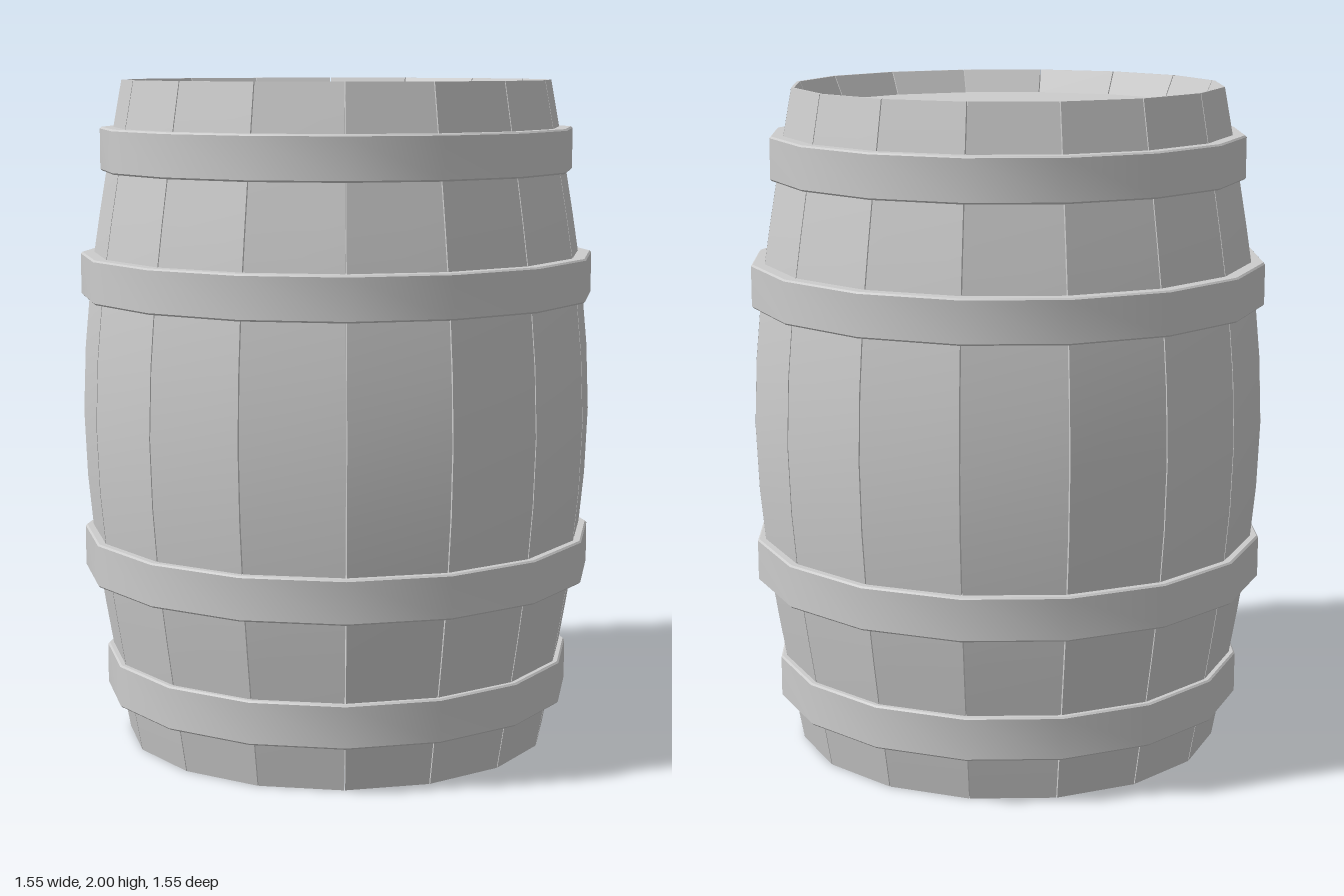
import * as THREE from 'three';
import { toCreasedNormals } from 'three/addons/utils/BufferGeometryUtils.js';

const SIDES = 16;
const STEP = (Math.PI * 2) / SIDES;

// Height, outer radius and inner radius up a stave
const HALF = [
  [0, 0.645, 0.636], [0.07, 0.658, 0.605], [0.2, 0.682, 0.62], [0.4, 0.716, 0.65],
  [0.58, 0.744, 0.68], [0.8, 0.765, 0.7], [1, 0.773, 0.71],
];
const PROFILE = [...HALF, ...HALF.slice(0, -1).reverse().map(([y, o, i]) => [2 - y, o, i])];

// One bowed plank: a box whose rows follow the barrel profile
function staveGeometry() {
  const rows = PROFILE.length - 1;
  const geo = new THREE.BoxGeometry(1, 1, 1, 1, rows, 1);
  const p = geo.attributes.position;
  for (let k = 0; k < p.count; k++) {
    const [y, outer, inner] = PROFILE[Math.round((p.getY(k) + 0.5) * rows)];
    const r = p.getZ(k) > 0 ? outer : inner;
    const a = p.getX(k) * (STEP - 0.005);
    p.setXYZ(k, r * Math.sin(a), y, r * Math.cos(a));
  }
  return toCreasedNormals(geo, 0.5);
}

// Flat band with slightly softened outer corners
function hoopGeometry(y0, y1, r) {
  const c = 0.005;
  const pts = [
    [r - 0.06, y0], [r - c, y0], [r, y0 + c], [r, y1 - c], [r - c, y1], [r - 0.06, y1],
  ].map(([x, y]) => new THREE.Vector2(x, y));
  return toCreasedNormals(new THREE.LatheGeometry(pts, SIDES), 0.6);
}

export function createModel() {
  const barrel = new THREE.Group();
  barrel.name = 'barrel';
  const grey = new THREE.MeshStandardMaterial({ color: 0xcccccc });
  grey.name = 'plain grey';
  const add = (name, geo) => {
    const mesh = new THREE.Mesh(geo, grey);
    mesh.name = name;
    barrel.add(mesh);
    return mesh;
  };

  // Staves
  const stave = staveGeometry();
  for (let i = 0; i < SIDES; i++) {
    add('stave', stave).rotation.y = (i + 0.5) * STEP;
  }

  // Hoops, mirrored about the middle
  for (const [y0, y1, r] of [[0.14, 0.27, 0.712], [0.515, 0.645, 0.775]]) {
    add('lowerHoop', hoopGeometry(y0, y1, r));
    add('upperHoop', hoopGeometry(2 - y1, 2 - y0, r));
  }

  // Recessed heads
  for (const [name, y] of [['bottomHead', 0.09], ['topHead', 1.91]]) {
    const head = new THREE.CylinderGeometry(0.612, 0.612, 0.04, SIDES);
    add(name, toCreasedNormals(head, 0.5)).position.y = y;
  }
  return barrel;
}
